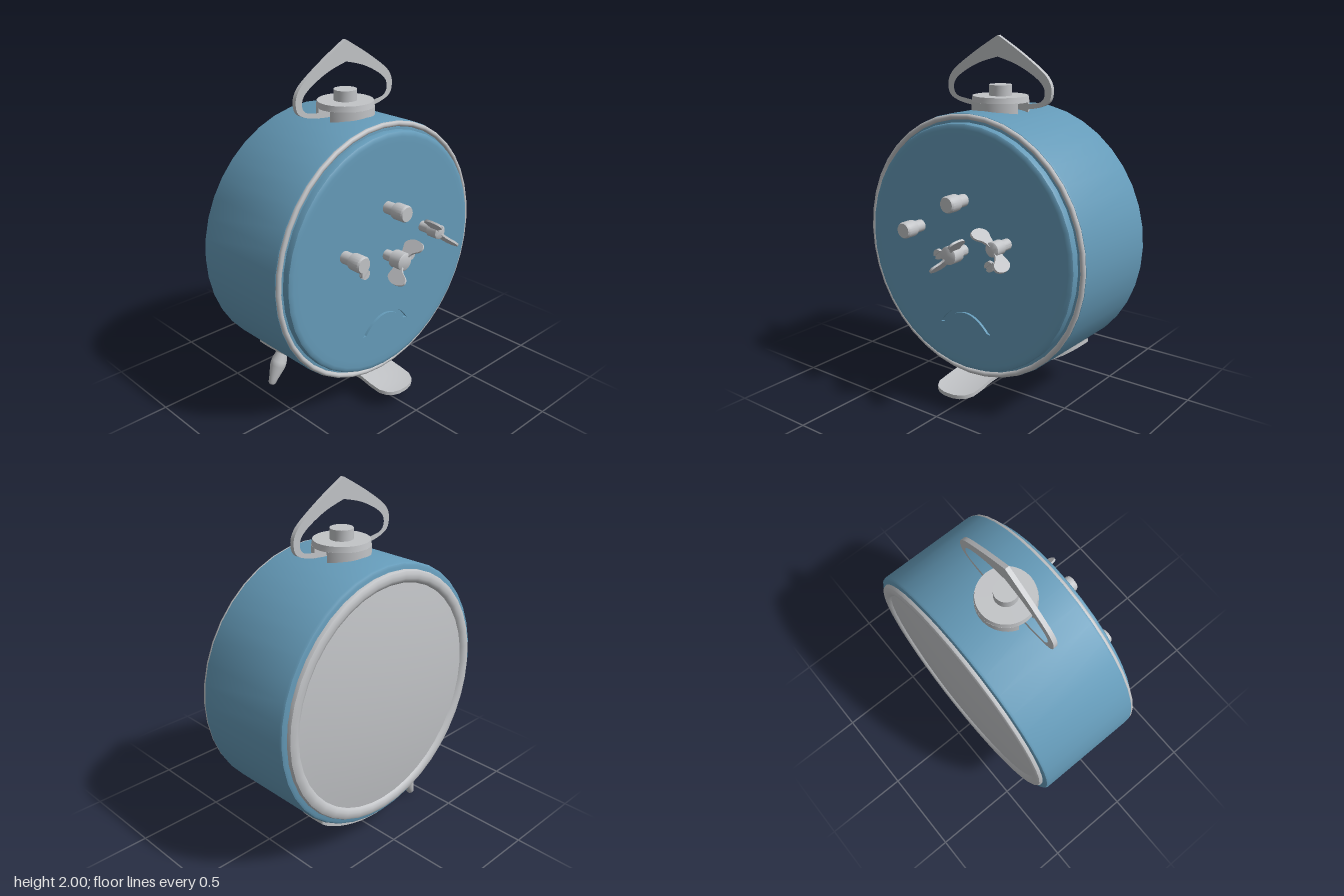
import * as THREE from 'three';
import { toCreasedNormals } from 'three/addons/utils/BufferGeometryUtils.js';

const CY = 0.88; // height of the case axis
const V = (x, y) => new THREE.Vector2(x, y);
const crease = (g) => toCreasedNormals(g, 0.6);

export function createModel() {
  const root = new THREE.Group();
  const blue = new THREE.MeshStandardMaterial({ color: 0x659bb9 });
  blue.name = 'blue enamel';
  const metal = new THREE.MeshStandardMaterial({ color: 0xc2c4c7 });
  metal.name = 'pale metal';

  const add = (name, geometry, material, x = 0, y = 0, z = 0) => {
    const mesh = new THREE.Mesh(geometry, material);
    mesh.name = name;
    mesh.position.set(x, y, z);
    root.add(mesh);
    return mesh;
  };
  // Profile of [radius, z] turned around the z axis
  const turned = (pts, seg = 40) =>
    crease(new THREE.LatheGeometry(pts.map((p) => V(...p)), seg).rotateX(Math.PI / 2));
  // Two circle segments separated by a straight slot along x
  const splitDisc = (r, gap, depth) => {
    const a = Math.asin(gap / r);
    const shapes = [0, Math.PI].map((o) => {
      const s = new THREE.Shape();
      s.absarc(0, 0, r, o + a, o + Math.PI - a, false);
      s.closePath();
      return s;
    });
    return crease(new THREE.ExtrudeGeometry(shapes, { depth, bevelEnabled: false, curveSegments: 16 }));
  };

  // Case
  add('case', turned([[0.6, -0.402], [0.715, -0.402], [0.727, -0.396], [0.733, -0.385],
    [0.733, 0.19], [0.73, 0.2], [0.72, 0.205], [0.66, 0.205]]), blue, 0, CY);
  add('trimRing', new THREE.TorusGeometry(0.715, 0.015, 8, 40), metal, 0, CY, 0.205);

  // Dial side: rim and domed crystal
  add('dialRim', turned([[0.625, -0.405], [0.637, -0.42], [0.655, -0.428], [0.678, -0.427],
    [0.692, -0.42], [0.698, -0.408], [0.698, -0.39]]), metal, 0, CY);
  const dome = [];
  for (let i = 0; i <= 10; i++) {
    const t = i / 10;
    dome.push([0.64 * t, -0.41 - 0.045 * (1 - t * t)]);
  }
  add('crystal', turned(dome), metal, 0, CY);

  // Cover plate with rounded rim and a curved slot
  add('coverRim', turned([[0.685, 0.2], [0.685, 0.232], [0.681, 0.242], [0.672, 0.248], [0.655, 0.25], [0.62, 0.25]]), blue, 0, CY);
  const face = new THREE.Shape();
  face.absarc(0, 0, 0.622, 0, Math.PI * 2, false);
  const slot = new THREE.Path();
  slot.moveTo(-0.175, -0.445);
  slot.quadraticCurveTo(-0.1, -0.335, 0, -0.332);
  slot.quadraticCurveTo(0.1, -0.335, 0.175, -0.445);
  slot.lineTo(0.15, -0.442);
  slot.quadraticCurveTo(0.08, -0.36, 0, -0.358);
  slot.quadraticCurveTo(-0.08, -0.36, -0.15, -0.442);
  slot.closePath();
  face.holes.push(slot);
  add('coverPlate', crease(new THREE.ExtrudeGeometry(face, { depth: 0.03, bevelEnabled: false, curveSegments: 24 })), blue, 0, CY, 0.22);
  add('slotFloor', new THREE.CircleGeometry(0.622, 40), blue, 0, CY, 0.235);

  // Setting knobs
  for (const [x, y] of [[0, 1.16], [-0.31, 0.97]]) {
    add('settingKnob', turned([[0.034, 0.24], [0.034, 0.315], [0.044, 0.315], [0.046, 0.325],
      [0.046, 0.385], [0.04, 0.395], [0, 0.395]], 20), metal, x, y);
  }

  // Winding keys: stem and butterfly plate
  const half = [[0.05, 0.4], [0.085, 0.446], [0.115, 0.448], [0.132, 0.41], [0.127, 0.36], [0.1, 0.328], [0.06, 0.335]];
  const outline = [[0, 0.383], ...half, [0, 0.34], ...half.map(([x, z]) => [-x, z]).reverse()].map((p) => V(...p));
  const wing = new THREE.Shape(new THREE.CatmullRomCurve3(
    outline.map((p) => new THREE.Vector3(p.x, p.y, 0)), true).getPoints(56).slice(0, -1).map((p) => V(p.x, p.y)));
  for (const [x, y, angle, r, end] of [[0.285, 0.97, -0.79, 0.032, 0.385], [0, 0.885, 0.86, 0.042, 0.39]]) {
    add('keyStem', turned([[0.03, 0.24], [0.03, 0.31], [r + 0.008, 0.315], [r + 0.008, end - 0.005], [r, end], [0, end]], 20), metal, x, y);
    const plate = new THREE.ExtrudeGeometry(wing, { depth: 0.012, bevelEnabled: false });
    plate.translate(0, 0, -0.006).rotateX(Math.PI / 2);
    add('keyWing', crease(plate), metal, x, y).rotation.z = angle;
  }

  // Slotted screws
  for (const x of [-0.175, 0.18]) {
    add('screwBase', turned([[0.03, 0.24], [0.03, 0.26], [0, 0.26]], 16), metal, x, 0.83);
    add('screwHead', splitDisc(0.029, 0.006, 0.012), metal, x, 0.83, 0.259).rotation.z = 0.7;
  }

  // Top cap with handle slot, and push button
  const capZ = -0.07;
  add('capBase', splitDisc(0.157, 0.045, 0.08).rotateX(-Math.PI / 2), metal, 0, 1.572, capZ);
  add('cap', crease(new THREE.CylinderGeometry(0.152, 0.157, 0.032, 32)), metal, 0, 1.666, capZ);
  add('button', crease(new THREE.CylinderGeometry(0.063, 0.063, 0.09, 24)), metal, 0, 1.695, capZ);

  // Pointed carrying handle
  const loop = (pts, bottom) => {
    const right = new THREE.SplineCurve(pts.map((p) => V(...p))).getPoints(28);
    const left = right.slice(1).map((p) => V(-p.x, p.y)).reverse();
    return [...right, V(0, bottom), ...left];
  };
  const handle = new THREE.Shape(loop([[0, 2], [0.14, 1.92], [0.27, 1.835], [0.325, 1.785], [0.347, 1.73],
    [0.33, 1.665], [0.25, 1.63], [0.14, 1.615]], 1.615));
  handle.holes.push(new THREE.Path(loop([[0, 1.887], [0.12, 1.853], [0.23, 1.8], [0.293, 1.75], [0.305, 1.7],
    [0.28, 1.665], [0.22, 1.652], [0.12, 1.64]], 1.64)));
  add('handle', crease(new THREE.ExtrudeGeometry(handle, { depth: 0.024, bevelEnabled: false })), metal, -0.008, 0, -0.078);

  // Curved support bracket: [z, half width] stations, wings then tongue
  const stations = [[-0.37, 0.4], [-0.36, 0.425], [-0.31, 0.432], [-0.25, 0.432], [-0.2, 0.42], [-0.15, 0.385],
    [-0.11, 0.33], [-0.07, 0.26], [-0.02, 0.2], [0.04, 0.16], [0.1, 0.135], [0.18, 0.122], [0.26, 0.125],
    [0.33, 0.122], [0.37, 0.1], [0.39, 0.07], [0.4, 0.03]];
  const N = 16, M = 2 * (N + 1), pos = [], idx = [];
  for (const [z, w] of stations) {
    const drop = 0.045 * THREE.MathUtils.smoothstep(z, 0, 0.38);
    for (let k = 0; k < M; k++) {
      const top = k > N;
      const x = w * ((top ? M - 1 - k : k) / N * 2 - 1);
      pos.push(x, CY - Math.sqrt(0.57 - x * x) - drop + (top ? 0.022 : 0), z);
    }
  }
  const last = (stations.length - 1) * M;
  for (let s = 0; s < last; s += M) {
    for (let k = 0; k < M; k++) {
      const a = s + k, b = s + (k + 1) % M;
      idx.push(a, b, b + M, a, b + M, a + M);
    }
  }
  for (let k = 0; k < N; k++) {
    const t = M - 1 - k;
    idx.push(k, t, t - 1, k, t - 1, k + 1);
    idx.push(last + k, last + t - 1, last + t, last + k, last + k + 1, last + t - 1);
  }
  const bracket = new THREE.BufferGeometry();
  bracket.setAttribute('position', new THREE.Float32BufferAttribute(pos, 3));
  bracket.setIndex(idx);
  add('supportBracket', crease(bracket), metal);

  // Single peg foot
  const peg = [[0, 0], [0.014, 0.002], [0.022, 0.012], [0.027, 0.04], [0.046, 0.12], [0.046, 0.15], [0.032, 0.21], [0.03, 0.25]];
  add('pegFoot', new THREE.LatheGeometry(peg.map((p) => V(...p)), 20), metal, -0.43, 0.008, -0.26).rotation.z = -0.45;

  return root;
}
